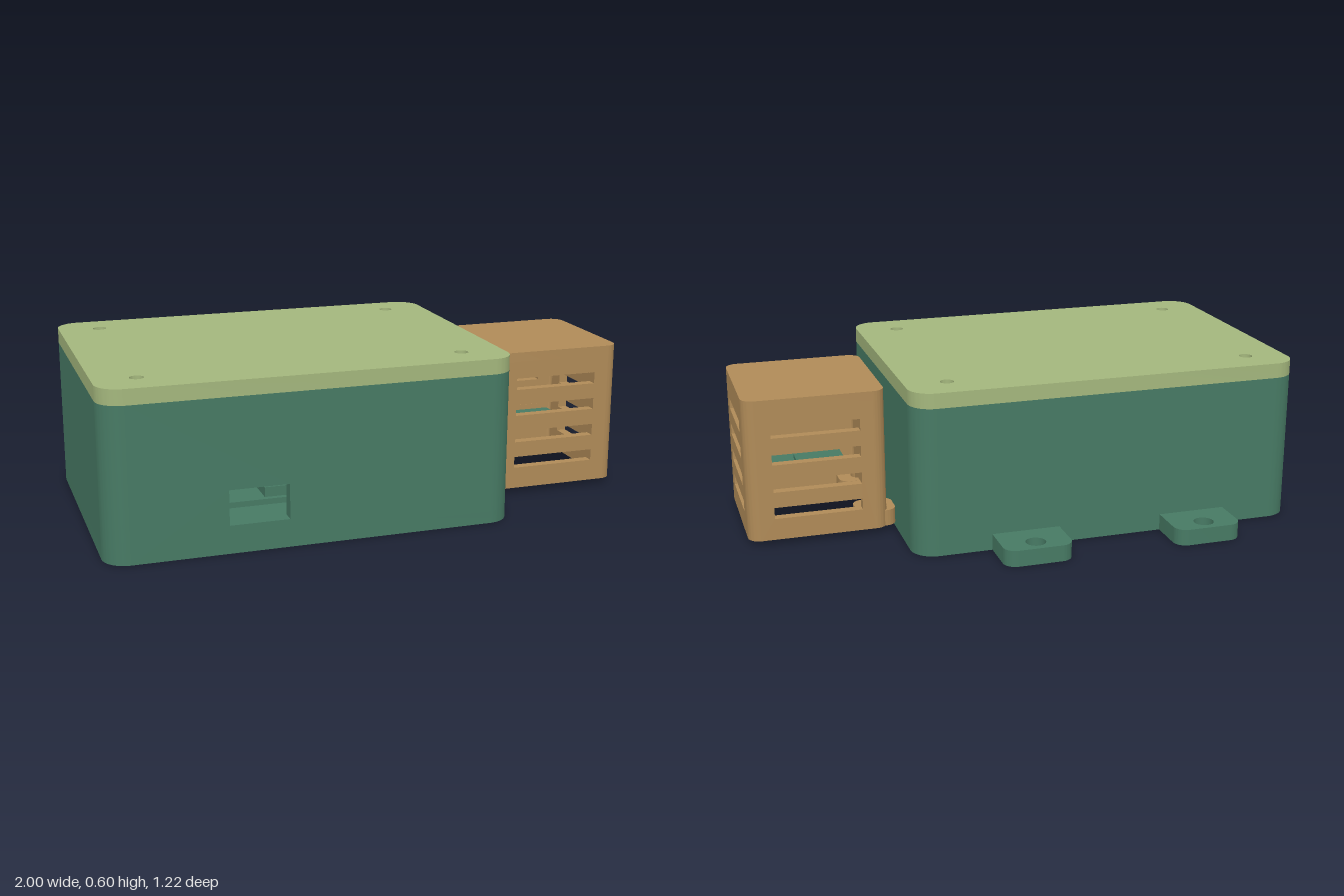
import * as THREE from 'three';
import { toCreasedNormals } from 'three/addons/utils/BufferGeometryUtils.js';

const material = (name, color) => Object.assign(new THREE.MeshStandardMaterial({ color }), { name });

// Rounded rectangle in plan; shape y stands for -z
function planRect(x0, x1, z0, z1, r) {
  const s = new THREE.Shape();
  s.absarc(x1 - r, -z0 - r, r, 0, Math.PI / 2);
  s.absarc(x0 + r, -z0 - r, r, Math.PI / 2, Math.PI);
  s.absarc(x0 + r, -z1 + r, r, Math.PI, Math.PI * 1.5);
  s.absarc(x1 - r, -z1 + r, r, Math.PI * 1.5, Math.PI * 2);
  s.closePath();
  return s;
}

function addHole(shape, x, z, r) {
  const hole = new THREE.Path();
  hole.absarc(x, -z, r, 0, Math.PI * 2, true);
  shape.holes.push(hole);
}

function extrude(shape, depth) {
  return new THREE.ExtrudeGeometry(shape, { depth, bevelEnabled: false, curveSegments: 10 });
}

// Horizontal plate from a plan shape
function plate(name, shape, y0, y1, mat) {
  const g = extrude(shape, y1 - y0).rotateX(-Math.PI / 2).translate(0, y0, 0);
  const mesh = new THREE.Mesh(toCreasedNormals(g, 0.6), mat);
  mesh.name = name;
  return mesh;
}

function block(name, x0, x1, y0, y1, z0, z1, mat) {
  const mesh = new THREE.Mesh(new THREE.BoxGeometry(x1 - x0, y1 - y0, z1 - z0), mat);
  mesh.position.set((x0 + x1) / 2, (y0 + y1) / 2, (z0 + z1) / 2);
  mesh.name = name;
  return mesh;
}

// Flat wall with rectangular openings [u0, u1, y0, y1]
function wallGeometry(u0, u1, y0, y1, t, openings = []) {
  const rect = (P, a, b, c, d) => new P([[a, c], [b, c], [b, d], [a, d]].map(p => new THREE.Vector2(...p)));
  const s = rect(THREE.Shape, u0, u1, y0, y1);
  for (const o of openings) s.holes.push(rect(THREE.Path, ...o));
  return extrude(s, t);
}

// Four walls joined by rounded corners
function shell(name, { x0, x1, z0, z1, y0, y1, r, t }, open, mat) {
  const group = new THREE.Group();
  group.name = name;
  const add = (n, g) => {
    const mesh = new THREE.Mesh(g, mat);
    mesh.name = n;
    group.add(mesh);
  };
  add('frontWall', wallGeometry(x0 + r, x1 - r, y0, y1, t, open.front).translate(0, 0, z1 - t));
  add('backWall', wallGeometry(x0 + r, x1 - r, y0, y1, t, open.back).translate(0, 0, z0));
  add('plusXWall', wallGeometry(z0 + r, z1 - r, y0, y1, t, open.plusX).rotateY(-Math.PI / 2).translate(x1, 0, 0));
  add('minusXWall', wallGeometry(z0 + r, z1 - r, y0, y1, t, open.minusX).rotateY(-Math.PI / 2).translate(x0 + t, 0, 0));
  const corners = [[x1 - r, z0 + r], [x0 + r, z0 + r], [x0 + r, z1 - r], [x1 - r, z1 - r]];
  corners.forEach(([x, z], i) => {
    const a = i * Math.PI / 2, b = a + Math.PI / 2;
    const s = new THREE.Shape();
    s.absarc(x, -z, r, a, b, false);
    s.absarc(x, -z, r - t, b, a, true);
    s.closePath();
    group.add(plate('roundedCorner', s, y0, y1, mat));
  });
  return group;
}

export function createModel() {
  const green = material('case green', 0x477a64);
  const lime = material('lid green', 0xa4b77d);
  const tan = material('housing tan', 0xb08b58);
  const model = new THREE.Group();
  model.name = 'sensorEnclosure';

  // Main case with a port opening in the front
  const body = { x0: -1, x1: 0.455, z0: -0.44, z1: 0.605, y0: 0, y1: 0.545, r: 0.085, t: 0.045 };
  model.add(shell('caseWalls', body, { front: [[-0.58, -0.37, 0.1, 0.225]] }, green));
  model.add(plate('caseFloor', planRect(-1, 0.455, -0.44, 0.605, 0.085), 0, 0.045, green));

  // Circuit board and connector behind the port
  model.add(block('mainBoard', -0.75, 0.05, 0.13, 0.15, -0.25, 0.52, green));
  model.add(block('portConnector', -0.43, -0.3, 0.15, 0.185, 0.35, 0.5, green));

  // Lid with screw holes over posts
  const lid = planRect(-1, 0.455, -0.44, 0.605, 0.085);
  for (const x of [-0.85, 0.3]) {
    for (const z of [-0.31, 0.47]) {
      addHole(lid, x, z, 0.025);
      const post = new THREE.Mesh(new THREE.CylinderGeometry(0.05, 0.05, 0.5, 24), green);
      post.position.set(x, 0.295, z);
      post.name = 'screwPost';
      model.add(post);
    }
  }
  model.add(plate('lid', lid, 0.545, 0.6, lime));

  // Mounting tabs at the back: rounded outer corners, square at the case
  for (const x of [-0.595, 0.048]) {
    const w = 0.126, r = 0.045, s = new THREE.Shape();
    s.moveTo(x - w, 0.43);
    s.lineTo(x + w, 0.43);
    s.absarc(x + w - r, 0.61 - r, r, 0, Math.PI / 2);
    s.absarc(x - w + r, 0.61 - r, r, Math.PI / 2, Math.PI);
    s.closePath();
    addHole(s, x, -0.55, 0.037);
    model.add(plate('mountingTab', s, 0, 0.06, green));
  }

  // Vented sensor housing, open underneath
  const slotRows = [[0.1, 0.142], [0.2, 0.243], [0.303, 0.345], [0.403, 0.446]];
  const slots = (a, b) => slotRows.map(row => [a, b, ...row]);
  const housing = { x0: 0.49, x1: 1, z0: -0.17, z1: 0.335, y0: 0.02, y1: 0.51, r: 0.045, t: 0.035 };
  model.add(shell('sensorHousing', housing, {
    front: slots(0.585, 0.905),
    back: slots(0.585, 0.905),
    plusX: slots(-0.062, 0.232),
    minusX: [[0.03, 0.145, 0.12, 0.24]],
  }, tan));
  model.add(plate('housingRoof', planRect(0.49, 1, -0.17, 0.335, 0.045), 0.51, 0.545, tan));

  // Drilled lugs joining the housing to the case
  for (const z of [-0.088, 0.25]) {
    const s = planRect(0.455, 0.6, z - 0.066, z + 0.066, 0.04);
    addHole(s, 0.515, z, 0.035);
    model.add(plate('housingLug', s, 0.02, 0.08, tan));
  }

  // Sensor board inside the housing
  model.add(block('sensorBoard', 0.6, 0.89, 0.203, 0.215, -0.02, 0.187, green));
  model.add(block('sensorChip', 0.7, 0.785, 0.215, 0.232, 0.042, 0.13, green));
  return model;
}
